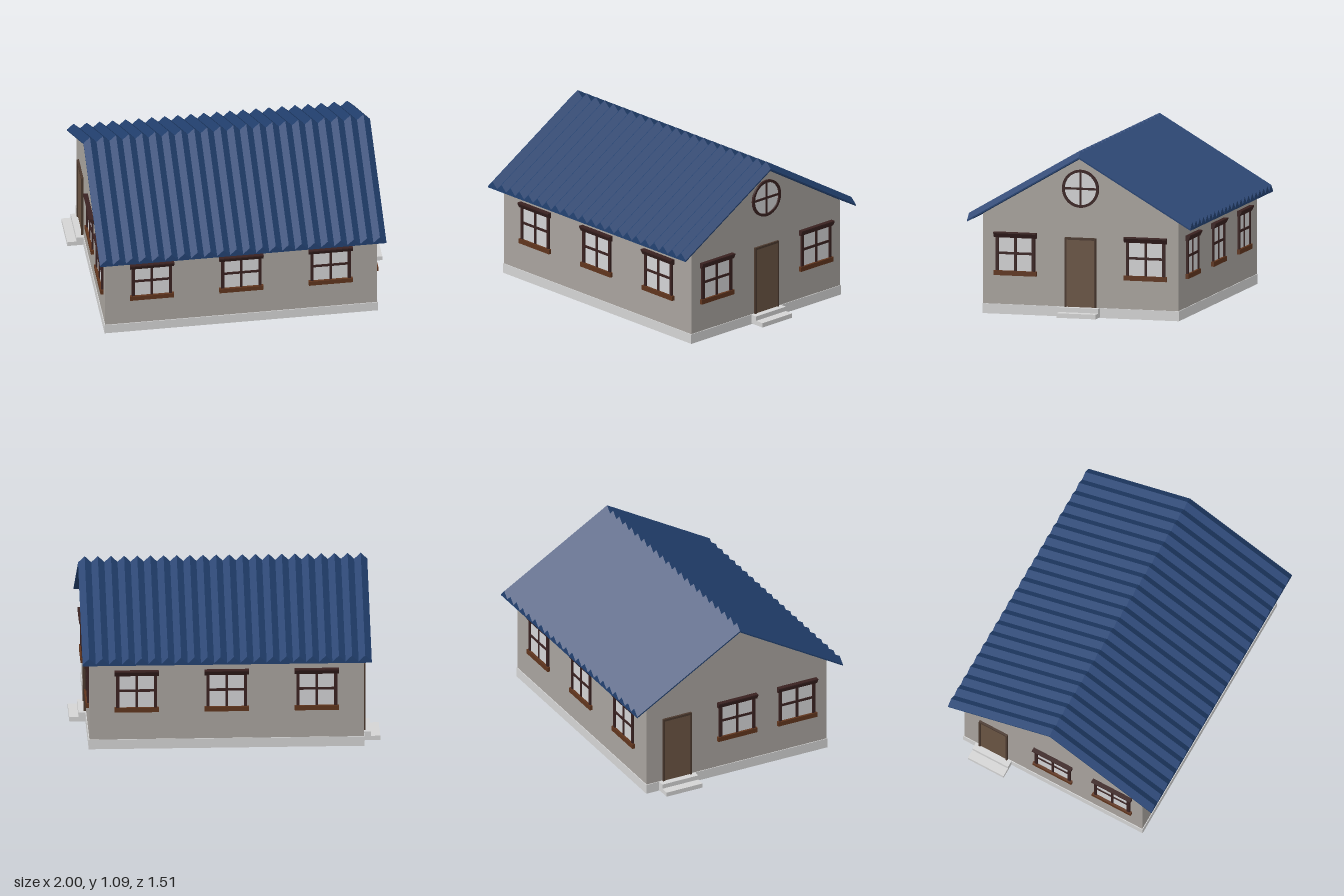
import * as THREE from 'three';

const mat = (name, color) => {
  const m = new THREE.MeshStandardMaterial({ color });
  m.name = name;
  return m;
};

const WALL_X = 0.89, WALL_Z = 0.66, BASE_H = 0.065;
const EAVE_Z = 0.755, ROOF_X = 0.938, SLOPE = 0.583, RIDGE_Y = 1.042;

export function createModel() {
  const plaster = mat('plaster', 0xa8a39e);
  const concrete = mat('concrete', 0xd4d4d4);
  const roofBlue = mat('roof blue', 0x234272);
  const darkWood = mat('dark wood', 0x3a2221);
  const sillWood = mat('sill wood', 0x60351d);
  const doorWood = mat('door wood', 0x6a5443);
  const doorTrim = mat('door trim', 0x4b392e);
  const glass = mat('glass', 0xd3d3d5);

  const house = new THREE.Group();
  house.name = 'house';

  const add = (parent, name, geo, material, x = 0, y = 0, z = 0) => {
    const mesh = new THREE.Mesh(geo, material);
    mesh.name = name;
    mesh.position.set(x, y, z);
    parent.add(mesh);
    return mesh;
  };
  const box = (parent, name, material, w, h, d, x, y, z) =>
    add(parent, name, new THREE.BoxGeometry(w, h, d), material, x, y, z);
  const polygon = pts => new THREE.Shape(pts.map(p => new THREE.Vector2(...p)));
  // Profile of (outward, up) points, extruded along x and centred
  const alongX = (pts, width) =>
    new THREE.ExtrudeGeometry(polygon(pts), { depth: width, bevelEnabled: false })
      .rotateY(-Math.PI / 2).translate(width / 2, 0, 0);

  // Foundation slab
  box(house, 'foundation', concrete, 1.79, BASE_H, 1.33, 0, BASE_H / 2, 0);

  // Walls with both gables
  const wallEave = RIDGE_Y - 0.004 - SLOPE * WALL_Z;
  add(house, 'walls', alongX([
    [-WALL_Z, BASE_H], [WALL_Z, BASE_H], [WALL_Z, wallEave],
    [0, RIDGE_Y - 0.004], [-WALL_Z, wallEave],
  ], WALL_X * 2), plaster);

  // Corrugated roof: zigzag section swept to the eave, then sheared down the slope
  const ribs = 22, pitch = 2 * ROOF_X / ribs;
  const section = [[-ROOF_X, 0], [ROOF_X, 0]];
  for (let i = 0; i <= ribs * 2; i++)
    section.push([ROOF_X - i * pitch / 2, i % 2 ? 0.051 : 0.01]);
  const slopeGeo = new THREE.ExtrudeGeometry(polygon(section), { depth: EAVE_Z, bevelEnabled: false });
  const p = slopeGeo.attributes.position;
  for (let i = 0; i < p.count; i++) p.setY(i, p.getY(i) + RIDGE_Y - SLOPE * p.getZ(i));
  slopeGeo.computeVertexNormals();
  add(house, 'frontRoof', slopeGeo, roofBlue);
  add(house, 'backRoof', slopeGeo, roofBlue).rotation.y = Math.PI;

  // Place a wall fitting: built facing +z, turned to face outward
  const fitting = (name, x, z, angle) => {
    const g = new THREE.Group();
    g.name = name;
    g.position.set(x, 0, z);
    g.rotation.y = angle;
    house.add(g);
    return g;
  };

  // Four-pane window with flared head and sill
  const lintelGeo = alongX([[0, 0.502], [0.015, 0.502], [0.03, 0.53], [0.03, 0.538], [0, 0.538]], 0.288);
  const addWindow = (x, z, angle) => {
    const g = fitting('window', x, z, angle);
    box(g, 'pane', glass, 0.24, 0.23, 0.008, 0, 0.395, 0);
    for (const s of [-1, 1]) box(g, 'jamb', darkWood, 0.02, 0.22, 0.013, s * 0.122, 0.394, 0.0065);
    box(g, 'mullion', darkWood, 0.016, 0.22, 0.01, 0, 0.394, 0.005);
    box(g, 'crossbar', darkWood, 0.23, 0.016, 0.01, 0, 0.4, 0.005);
    add(g, 'lintel', lintelGeo, darkWood);
    box(g, 'sill', sillWood, 0.288, 0.031, 0.02, 0, 0.27, 0.01);
  };

  // Door with trim and two steps
  const addDoor = (x, z, angle) => {
    const g = fitting('door', x, z, angle);
    box(g, 'doorPanel', doorWood, 0.19, 0.44, 0.01, 0, 0.285, 0.003);
    for (const s of [-1, 1]) box(g, 'doorJamb', doorTrim, 0.012, 0.455, 0.015, s * 0.099, 0.2925, 0.0075);
    box(g, 'doorHead', doorTrim, 0.21, 0.015, 0.015, 0, 0.5125, 0.0075);
    box(g, 'upperStep', concrete, 0.264, 0.06, 0.05, 0, 0.0352, 0.025);
    box(g, 'lowerStep', concrete, 0.264, 0.03, 0.11, 0, 0.02, 0.055);
  };

  const half = Math.PI / 2;
  for (const x of [-0.585, 0, 0.585]) {
    addWindow(x, WALL_Z, 0);
    addWindow(x, -WALL_Z, Math.PI);
  }
  for (const z of [-0.44, 0.44]) addWindow(WALL_X, z, half);
  for (const z of [0, 0.44]) addWindow(-WALL_X, z, -half);
  addDoor(WALL_X, 0, half);
  addDoor(-WALL_X, -0.44, -half);

  // Round gable window
  const round = fitting('roundWindow', WALL_X, 0, half);
  const ring = new THREE.Shape().absarc(0, 0, 0.124, 0, Math.PI * 2);
  ring.holes.push(new THREE.Path().absarc(0, 0, 0.107, 0, Math.PI * 2, true));
  add(round, 'roundFrame',
    new THREE.ExtrudeGeometry(ring, { depth: 0.014, bevelEnabled: false, curveSegments: 32 }),
    darkWood, 0, 0.841, 0);
  add(round, 'roundPane', new THREE.CircleGeometry(0.11, 32), glass, 0, 0.841, 0.004);
  box(round, 'roundMullion', darkWood, 0.014, 0.22, 0.01, 0, 0.841, 0.005);
  box(round, 'roundCrossbar', darkWood, 0.22, 0.014, 0.01, 0, 0.841, 0.005);

  return house;
}
